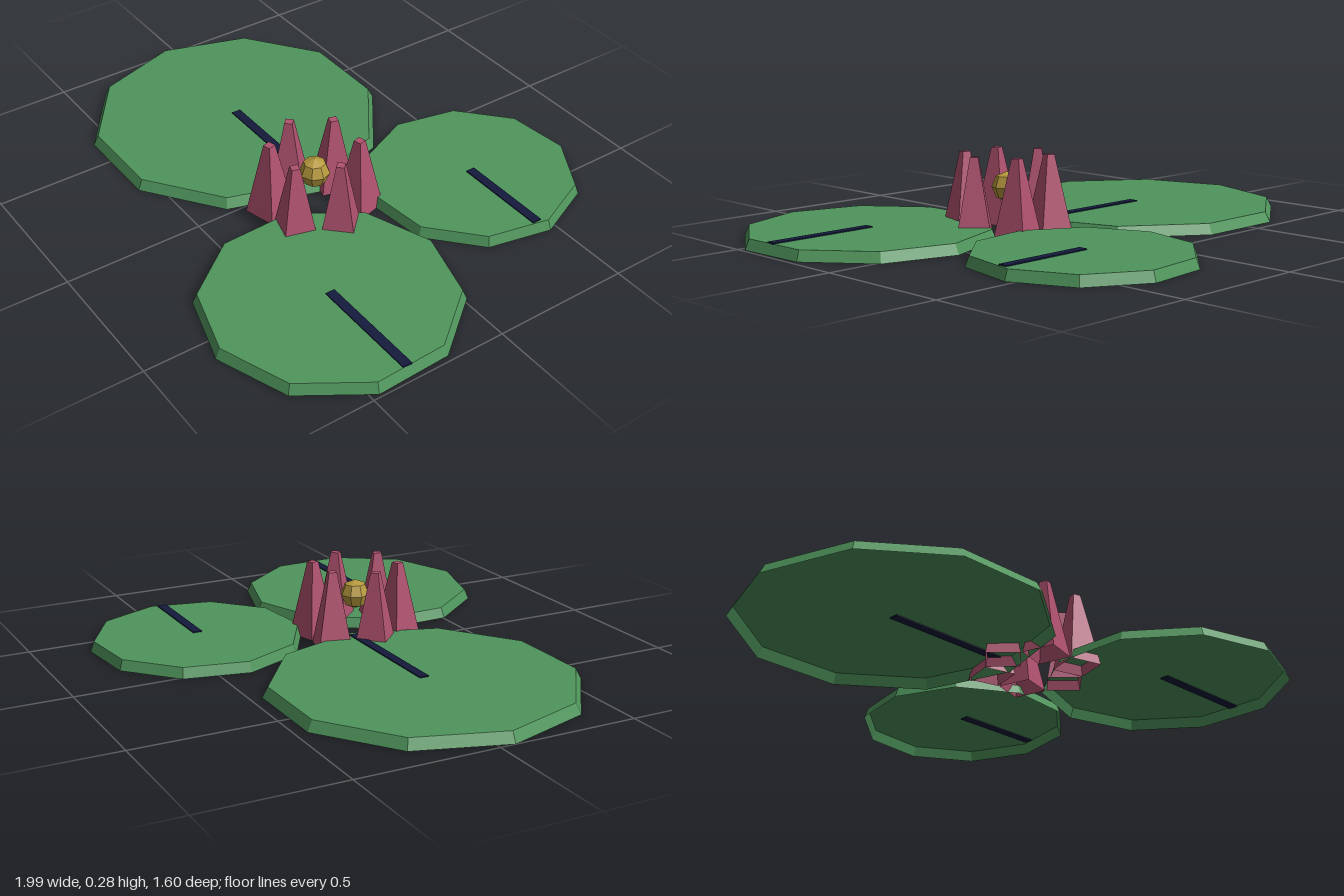
import * as THREE from 'three';

const paint = (color) => new THREE.MeshStandardMaterial({ color, flatShading: true, side: THREE.DoubleSide });

// Tapered faceted shell with a flat top and an open underside
function taperedShell(bottomRadius, topRadius, height, sides, startAngle) {
  const profile = [
    new THREE.Vector2(bottomRadius, 0),
    new THREE.Vector2(topRadius, height),
    new THREE.Vector2(0, height),
  ];
  return new THREE.LatheGeometry(profile, sides, startAngle);
}

export function createModel() {
  const model = new THREE.Group();
  model.name = 'waterLily';
  const green = paint(0x4f955c);
  const navy = paint(0x141a3c);
  const pink = paint(0xb0526f);
  const gold = paint(0xb5983c);

  function add(parent, name, geometry, material, x, y, z) {
    const mesh = new THREE.Mesh(geometry, material);
    mesh.name = name;
    mesh.position.set(x, y, z);
    parent.add(mesh);
    return mesh;
  }

  // Ten-sided floating pads, each with a dark slit from centre to rim
  const padHeight = 0.037;
  const pads = [
    { name: 'largePad', x: -0.46, z: 0.055, radius: 0.54, turn: 0 },
    { name: 'backPad', x: 0.322, z: -0.43, radius: 0.385, turn: -0.105 },
    { name: 'frontPad', x: 0.565, z: 0.352, radius: 0.441, turn: 0.275 },
  ];
  for (const { name, x, z, radius, turn } of pads) {
    const pad = new THREE.Group();
    pad.name = name;
    pad.position.set(x, 0, z);
    add(pad, 'leaf', taperedShell(radius, radius * 0.965, padHeight, 10, Math.PI / 2 - turn), green, 0, 0, 0);
    const length = radius * 0.92;
    add(pad, 'slit', new THREE.BoxGeometry(length, 0.008, 0.034), navy, length / 2, padHeight, 0);
    model.add(pad);
  }

  // Flower: a ring of six four-sided petals around a faceted centre
  const flower = new THREE.Group();
  flower.name = 'flower';
  flower.position.set(0.14, 0, 0.115);
  const petalGeometry = taperedShell(0.085, 0.02, 0.275, 4, 0);
  for (let i = 0; i < 6; i++) {
    const angle = (i * Math.PI) / 3;
    const petal = add(flower, 'petal', petalGeometry, pink, 0.153 * Math.cos(angle), 0, 0.153 * Math.sin(angle));
    petal.rotation.y = -angle;
  }
  add(flower, 'flowerCentre', new THREE.SphereGeometry(0.054, 8, 4), gold, 0, 0.155, 0);
  model.add(flower);

  return model;
}
